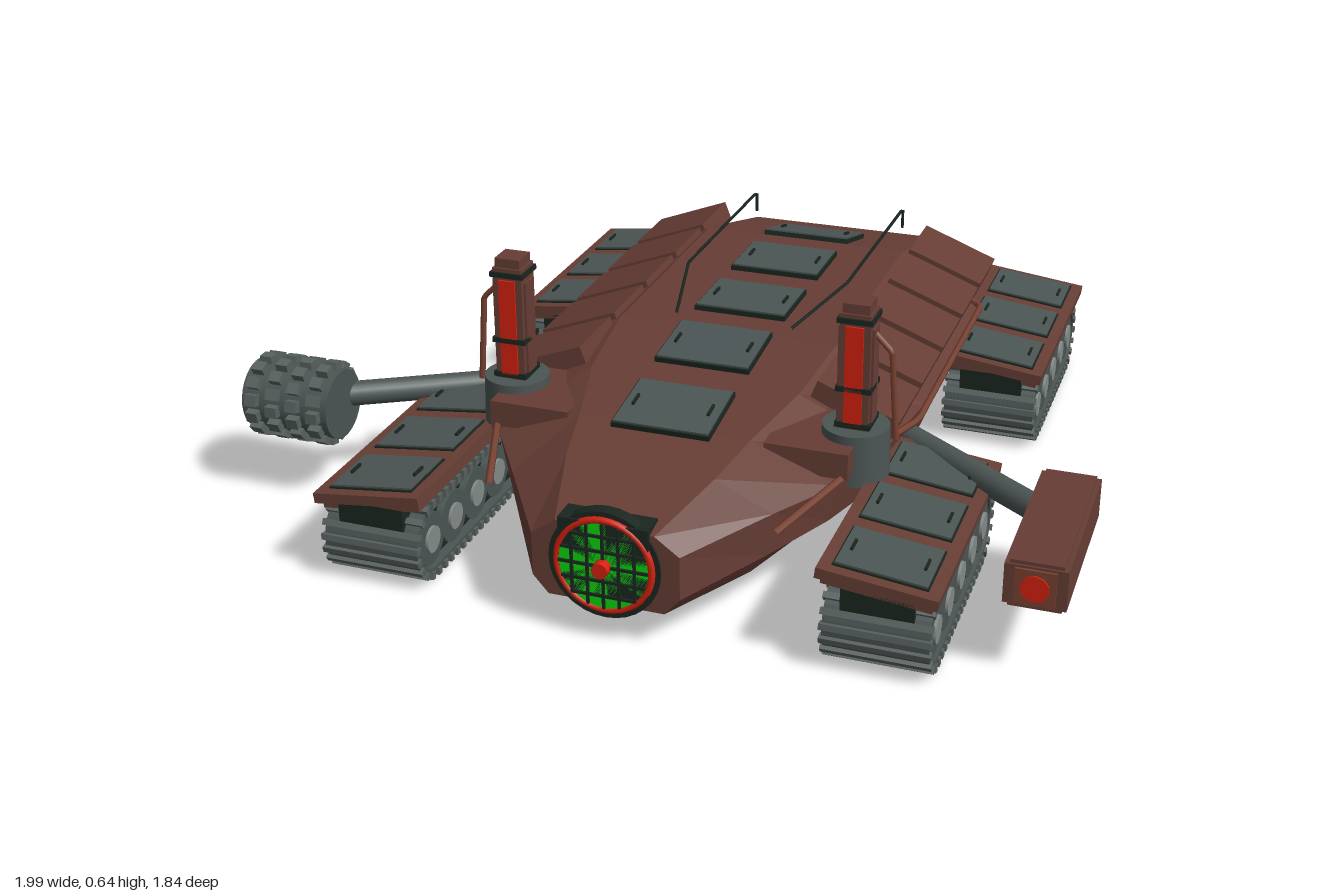
import * as THREE from 'three';

const mat = (name, color) => Object.assign(new THREE.MeshStandardMaterial({ color }), { name });
const M = {
  hull: mat('rust brown', 0x673e35), steel: mat('steel grey', 0x4b5554),
  tread: mat('tread grey', 0x596260), dark: mat('dark green black', 0x1b261f),
  hub: mat('hub grey', 0x848b89), red: mat('signal red', 0xd6220f),
  green: mat('lens green', 0x0bd80f), pipe: mat('pipe brown', 0x7a4333),
  under: mat('underside grey', 0x3f494b),
};
const CX = 0.06; // hull axis

function add(parent, name, geo, m, x = 0, y = 0, z = 0) {
  const o = new THREE.Mesh(geo, m);
  o.name = name;
  o.position.set(x, y, z);
  parent.add(o);
  return o;
}
const box = (p, n, m, w, h, d, x, y, z) => add(p, n, new THREE.BoxGeometry(w, h, d), m, x, y, z);
const cylX = (r, w, n = 24) => new THREE.CylinderGeometry(r, r, w, n).rotateZ(Math.PI / 2);
const cylZ = (r, w, n = 32) => new THREE.CylinderGeometry(r, r, w, n).rotateX(Math.PI / 2);
function rod(p, n, m, r, pts) {
  const path = new THREE.CurvePath();
  const v = pts.map(a => new THREE.Vector3(...a));
  for (let i = 1; i < v.length; i++) path.add(new THREE.LineCurve3(v[i - 1], v[i]));
  return add(p, n, new THREE.TubeGeometry(path, 12 * (v.length - 1), r, r > 0.02 ? 20 : 6), m);
}

// Hull stations: z, then half-width and height of bottom, lower side, upper side, roof
const STATIONS = [
  [-0.925, 0.25, 0.19, 0.335, 0.20, 0.335, 0.25, 0.25, 0.305],
  [-0.74, 0.30, 0.155, 0.40, 0.18, 0.42, 0.26, 0.27, 0.35],
  [-0.55, 0.32, 0.14, 0.45, 0.18, 0.485, 0.28, 0.27, 0.40],
  [0.10, 0.32, 0.13, 0.46, 0.18, 0.485, 0.28, 0.27, 0.40],
  [0.33, 0.32, 0.12, 0.44, 0.18, 0.46, 0.28, 0.25, 0.375],
  [0.53, 0.30, 0.115, 0.38, 0.18, 0.40, 0.27, 0.20, 0.345],
  [0.68, 0.25, 0.11, 0.29, 0.16, 0.30, 0.26, 0.17, 0.32],
  [0.885, 0.13, 0.10, 0.165, 0.14, 0.165, 0.24, 0.11, 0.28],
];
function hullGeometry() {
  const pos = [], idx = [], n = 8, last = (STATIONS.length - 1) * n;
  for (const [z, ...s] of STATIONS) {
    for (let k = 0; k < 4; k++) pos.push(s[2 * k], s[2 * k + 1], z);
    for (let k = 3; k >= 0; k--) pos.push(-s[2 * k], s[2 * k + 1], z);
  }
  for (let a = 0; a < last; a += n) for (let j = 0; j < n; j++) {
    const k = (j + 1) % n;
    idx.push(a + j, a + k, a + n + k, a + j, a + n + k, a + n + j);
  }
  for (let j = 1; j < n - 1; j++) idx.push(last, last + j, last + j + 1, 0, j + 1, j);
  const g = new THREE.BufferGeometry();
  g.setAttribute('position', new THREE.Float32BufferAttribute(pos, 3));
  g.setIndex(idx);
  const flat = g.toNonIndexed();
  flat.computeVertexNormals();
  return flat;
}
function roofY(z) {
  const i = Math.max(1, STATIONS.findIndex(s => s[0] >= z)), a = STATIONS[i - 1], b = STATIONS[i];
  return a[8] + (b[8] - a[8]) * (z - a[0]) / (b[0] - a[0]);
}

// Hatch: dark rim, grey lid and two handles
function hatch(p, w, d, x, y, z, tilt = 0) {
  const g = new THREE.Group();
  g.name = 'hatch';
  g.position.set(x, y, z);
  g.rotation.x = tilt;
  box(g, 'hatchRim', M.dark, w + 0.008, 0.012, d + 0.008, 0, 0, 0);
  box(g, 'hatchLid', M.steel, w, 0.02, d, 0, 0, 0);
  for (const s of [-1, 1]) box(g, 'hatchHandle', M.dark, 0.006, 0.008, 0.04, s * w * 0.4, 0.012, 0);
  p.add(g);
}

function stadium(cls, L, r) {
  const s = new cls();
  s.moveTo(-L, -r);
  s.lineTo(L, -r);
  s.absarc(L, 0, r, -Math.PI / 2, Math.PI / 2, false);
  s.lineTo(-L, r);
  s.absarc(-L, 0, r, Math.PI / 2, Math.PI * 1.5, false);
  return s;
}
function track(side, z) {
  const g = new THREE.Group(), L = 0.222, R = 0.086, W = 0.235;
  g.name = 'trackUnit';
  const loop = stadium(THREE.Shape, L, R);
  loop.holes.push(stadium(THREE.Path, L, R - 0.016));
  const extrude = (s, w) => new THREE.ExtrudeGeometry(s, { depth: w, bevelEnabled: false, curveSegments: 12 })
    .translate(0, 0, -w / 2).rotateY(-Math.PI / 2);
  add(g, 'trackBelt', extrude(loop, W - 0.01), M.steel, 0, 0.107, 0);
  add(g, 'trackCore', extrude(stadium(THREE.Shape, L, R - 0.015), 0.18), M.dark, 0, 0.107, 0);
  // Tread bars follow the belt
  const N = 46, per = 4 * L + 2 * Math.PI * R;
  for (let i = 0; i < N; i++) {
    let t = i * per / N, px, py, a;
    const half = per / 2, flip = t >= half ? -1 : 1;
    t %= half;
    if (t < 2 * L) { px = -L + t; py = -R; a = 0; }
    else { a = (t - 2 * L) / R; px = L + R * Math.sin(a); py = -R * Math.cos(a); }
    const b = box(g, 'treadBar', M.tread, W, 0.018, 0.014, 0, 0.107 + flip * py, flip * px);
    b.rotation.x = -a;
  }
  for (let i = -2; i <= 2; i++) {
    add(g, 'roadWheel', cylX(0.062, 0.215), M.steel, 0, 0.107, i * 0.114);
    add(g, 'wheelHub', cylX(0.031, 0.228, 16), M.hub, 0, 0.107, i * 0.114);
  }
  box(g, 'trackMount', M.dark, 0.155, 0.08, 0.6, 0, 0.168, 0);
  // Fender slopes down outward
  const f = new THREE.Group();
  f.name = 'fender';
  f.position.y = 0.228;
  f.rotation.z = -side * 0.12;
  box(f, 'fenderPlate', M.hull, 0.257, 0.024, 0.632, 0, 0, 0);
  box(f, 'fenderSkirt', M.hull, 0.235, 0.02, 0.6, 0, -0.02, 0);
  for (const k of [-1, 0, 1]) hatch(f, 0.195, 0.155, 0, 0.01, k * 0.208);
  g.add(f);
  g.position.set(side * 0.57, 0, z);
  return g;
}

// Upright emitter tower on a round base
function tower(side) {
  const g = new THREE.Group();
  g.name = 'tower';
  g.position.set(side * 0.405, 0, 0.41);
  add(g, 'towerBase', new THREE.CylinderGeometry(0.075, 0.078, 0.12, 28), M.steel, 0, 0.305, 0);
  box(g, 'towerColumn', M.hull, 0.07, 0.28, 0.07, 0, 0.495, 0);
  box(g, 'towerCap', M.hull, 0.06, 0.03, 0.06, 0, 0.642, 0);
  for (const y of [0.375, 0.46, 0.62]) box(g, 'towerBand', M.dark, 0.08, 0.012, 0.08, 0, y, 0);
  for (const s of [-1, 1]) {
    box(g, 'redPanel', M.red, 0.04, 0.235, 0.008, 0, 0.49, s * 0.036);
    box(g, 'sidePanel', M.hull, 0.008, 0.22, 0.045, s * 0.036, 0.49, 0);
  }
  rod(g, 'towerPipe', M.pipe, 0.007, [[side * 0.09, 0.34, 0], [side * 0.075, 0.545, 0], [side * 0.03, 0.59, 0]]);
  return g;
}

export function createModel() {
  const root = new THREE.Group();
  root.name = 'trackedVehicle';
  const body = new THREE.Group();
  body.name = 'body';
  body.position.x = CX;
  root.add(body);
  add(body, 'hull', hullGeometry(), M.hull);

  // Belly plate
  const plan = new THREE.Shape([[-0.29, -0.86], [0.29, -0.86], [0.3, 0.35], [0.14, 0.78], [-0.14, 0.78], [-0.3, 0.35]]
    .map(([x, z]) => new THREE.Vector2(x, -z)));
  add(body, 'bellyPlate', new THREE.ExtrudeGeometry(plan, { depth: 0.08, bevelEnabled: false }).rotateX(-Math.PI / 2), M.under, 0, 0.098, 0);

  // Roof hatches
  for (const z of [-0.65, -0.37, -0.09, 0.19, 0.467]) {
    const slope = (roofY(z + 0.06) - roofY(z - 0.06)) / 0.12;
    hatch(body, 0.222, 0.175, 0, roofY(z) + 0.006, z, -Math.atan(slope));
  }

  for (const s of [-1, 1]) {
    // Shoulder armour
    for (let i = 0; i < 5; i++) {
      const b = box(body, 'shoulderPanel', M.hull, 0.205, 0.05, 0.19, s * 0.375, 0.347, 0.22 - i * 0.217);
      b.rotation.z = -s * 0.367;
    }
    box(body, 'towerPlate', M.hull, 0.19, 0.06, 0.21, s * 0.325, 0.315, 0.425);
    rod(body, 'sidePipe', M.pipe, 0.008, [[s * 0.42, 0.33, -0.53], [s * 0.497, 0.30, -0.48], [s * 0.497, 0.29, 0.2], [s * 0.45, 0.28, 0.3]]);
    rod(body, 'noseRail', M.pipe, 0.009, [[s * 0.405, 0.285, 0.53], [s * 0.325, 0.255, 0.75]]);
    rod(body, 'roofRod', M.dark, 0.004, [[s * 0.145, 0.405, 0.05], [s * 0.21, 0.43, -0.22], [s * 0.21, 0.43, -0.79], [s * 0.21, 0.375, -0.79]]);
    body.add(tower(s), track(s, 0.54), track(s, -0.582));
  }

  // Nose lamp with grid
  const lamp = new THREE.Group();
  lamp.name = 'noseLamp';
  lamp.position.set(0, 0.195, 0.875);
  body.add(lamp);
  box(lamp, 'lampHousing', M.dark, 0.2, 0.17, 0.06, 0, 0.015, -0.01);
  add(lamp, 'lampRim', cylZ(0.125, 0.03), M.dark);
  add(lamp, 'lampRing', new THREE.TorusGeometry(0.106, 0.008, 8, 40), M.red, 0, 0, 0.015);
  add(lamp, 'lampLens', cylZ(0.1, 0.008), M.green, 0, 0, 0.016);
  for (const k of [-2, -1, 0, 1, 2]) {
    const o = k * 0.035, len = 2 * Math.sqrt(0.01 - o * o);
    box(lamp, 'gridBar', M.dark, 0.006, len, 0.008, o, 0, 0.021);
    box(lamp, 'gridBar', M.dark, len, 0.006, 0.008, 0, o, 0.021);
  }
  add(lamp, 'lampCentre', cylZ(0.018, 0.03, 16), M.red, 0, 0, 0.028);

  // Right arm with toothed drum
  rod(root, 'rightArm', M.steel, 0.03, [[-0.38, 0.235, 0.15], [-0.8, 0.245, 0.42]]);
  const drum = new THREE.Group();
  drum.name = 'toothedDrum';
  drum.position.set(-0.887, 0.245, 0.47);
  root.add(drum);
  add(drum, 'drumCore', cylX(0.084, 0.224, 28), M.steel);
  for (let c = 0; c < 4; c++) for (let i = 0; i < 14; i++) {
    const a = (i + (c % 2) * 0.5) / 14 * Math.PI * 2, x = -0.081 + c * 0.054;
    const t = box(drum, 'drumTooth', M.tread, 0.03, 0.03, 0.027, x, 0.086 * Math.cos(a), 0.086 * Math.sin(a));
    t.rotation.x = a;
  }

  // Left arm with lamp box
  rod(root, 'leftArm', M.steel, 0.03, [[0.49, 0.235, 0.15], [0.9, 0.235, 0.45]]);
  box(root, 'armBox', M.hull, 0.13, 0.09, 0.42, 0.93, 0.232, 0.54);
  box(root, 'armBoxSpine', M.hull, 0.11, 0.106, 0.41, 0.93, 0.232, 0.54);
  box(root, 'armLampFrame', M.pipe, 0.085, 0.08, 0.008, 0.93, 0.232, 0.752);
  add(root, 'armLamp', cylZ(0.03, 0.01, 10), M.red, 0.93, 0.232, 0.755);
  return root;
}
